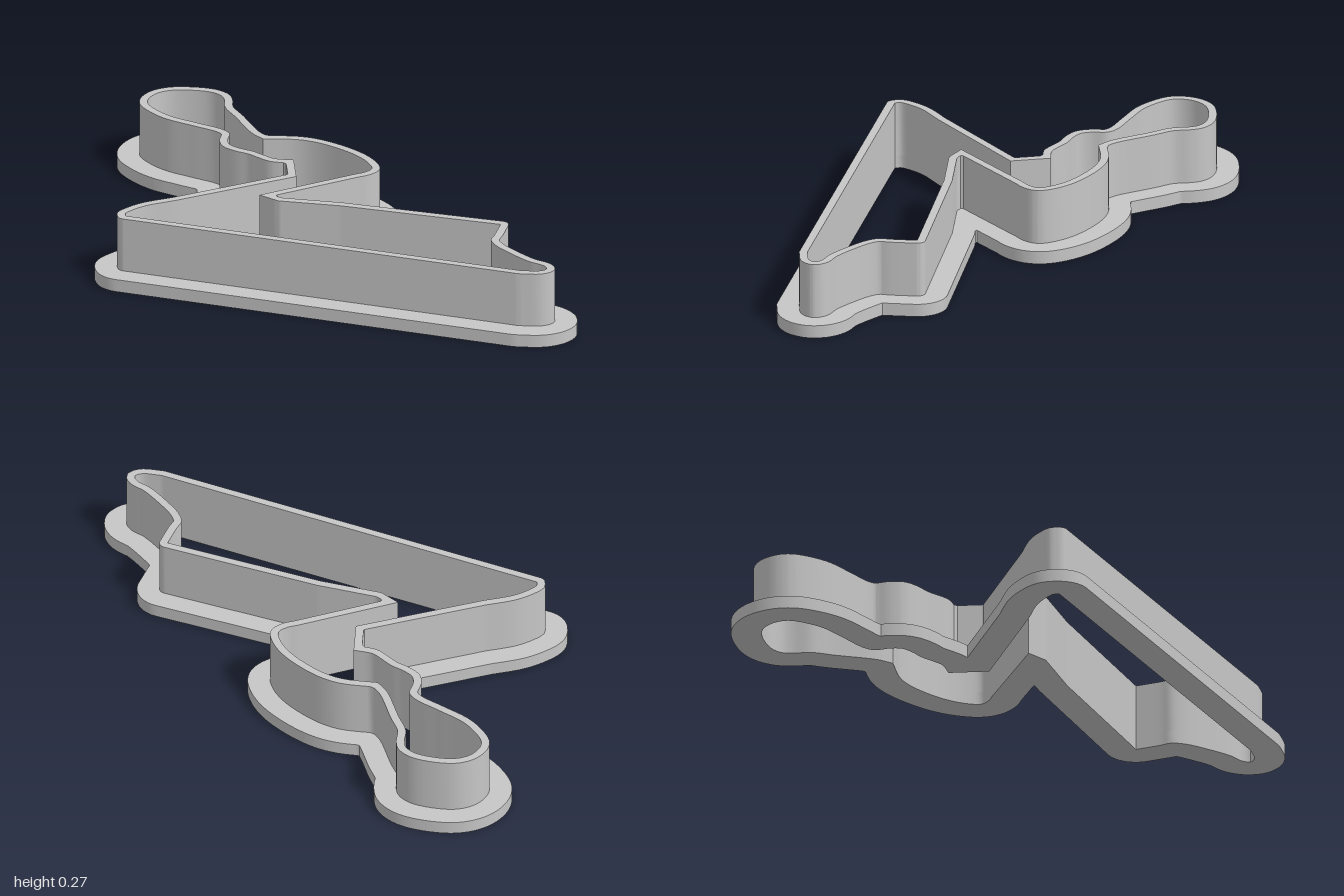
import * as THREE from 'three';
import { toCreasedNormals } from 'three/addons/utils/BufferGeometryUtils.js';

const FLANGE_H = 0.05, TOP = 0.265, WALL = 0.031, FLANGE = 0.116;

// Inner edge as smooth runs of [x, z]; sharp corners fall between runs.
const runs = [
  // neck, head and back of the neck
  [[-.241, -.147], [-.316, -.147], [-.353, -.166], [-.406, -.198], [-.46, -.217], [-.503, -.243],
    [-.519, -.281], [-.524, -.345], [-.556, -.377], [-.663, -.42], [-.77, -.463], [-.834, -.511],
    [-.877, -.564], [-.882, -.607], [-.861, -.66], [-.813, -.698], [-.717, -.714], [-.652, -.706],
    [-.615, -.682], [-.599, -.65], [-.583, -.58], [-.529, -.5], [-.439, -.361], [-.39, -.318]],
  // rounded shoulder
  [[-.39, -.318], [-.262, -.334], [-.193, -.324], [-.102, -.286], [-.011, -.227], [.043, -.168],
    [.064, -.12], [.043, -.083], [.011, -.059]],
  // notch and upper edge of the long part
  [[.011, -.059], [-.31, .197]],
  [[-.31, .197], [-.23, .238]],
  [[-.23, .238], [.011, .241]],
  [[.011, .241], [.636, .302]],
  // stepped end
  [[.636, .302], [.631, .404], [.626, .447], [.652, .495], [.727, .564], [.807, .623], [.866, .65],
    [.882, .676], [.861, .698], [.786, .709]],
  // long straight edge, rounded tip and return
  [[.786, .709], [-.772, .478]],
  [[-.772, .478], [-.778, .457], [-.757, .42], [-.712, .37], [-.61, .302]],
  [[-.61, .302], [-.203, .003]],
  [[-.203, .003], [-.241, -.147]],
];

function innerOutline() {
  const out = [];
  for (const run of runs) {
    const curve = new THREE.CatmullRomCurve3(run.map(([x, z]) => new THREE.Vector3(x, -z, 0)), false, 'centripetal');
    const n = Math.max(2, Math.ceil(curve.getLength() / 0.012));
    for (const p of curve.getSpacedPoints(n).slice(0, -1)) out.push(new THREE.Vector2(p.x, p.y));
  }
  return out;
}

// Parallel outline: rounds outward corners, drops points that come too close in inward ones.
function offset(points, d) {
  const n = points.length, out = [];
  points.forEach((p, i) => {
    const a = p.clone().sub(points[(i + n - 1) % n]);
    const b = points[(i + 1) % n].clone().sub(p);
    const start = Math.atan2(a.x, -a.y);
    const turn = Math.atan2(a.cross(b), a.dot(b));
    const steps = turn < 0 ? Math.ceil(-turn / 0.15) : 0;
    for (let k = 0; k <= steps; k++) {
      const t = start + (steps ? turn * k / steps : turn / 2);
      const q = new THREE.Vector2(p.x + d * Math.cos(t), p.y + d * Math.sin(t));
      if (points.every((o) => o.distanceTo(q) > d - 2e-4)) out.push(q);
    }
  });
  return out.filter((q, i) => q.distanceTo(out[(i + 1) % out.length]) > 1e-4);
}

// Upright ring between two clockwise outlines; the hole runs the other way so its wall faces inward.
function ring(name, outer, inner, y, height, material) {
  const shape = new THREE.Shape([...outer].reverse());
  shape.holes.push(new THREE.Path(inner));
  const geo = new THREE.ExtrudeGeometry(shape, { depth: height, bevelEnabled: false });
  geo.rotateX(-Math.PI / 2).translate(0, y, 0);
  const mesh = new THREE.Mesh(toCreasedNormals(geo, 0.5), material);
  mesh.name = name;
  return mesh;
}

export function createModel() {
  const grey = new THREE.MeshStandardMaterial({ color: 0xc6c6c6 });
  grey.name = 'grey plastic';
  const group = new THREE.Group();
  group.name = 'cookieCutter';
  const inner = innerOutline();
  group.add(
    ring('baseFlange', offset(inner, FLANGE), inner, 0, FLANGE_H, grey),
    ring('cuttingWall', offset(inner, WALL), inner, FLANGE_H, TOP - FLANGE_H, grey),
  );
  return group;
}
